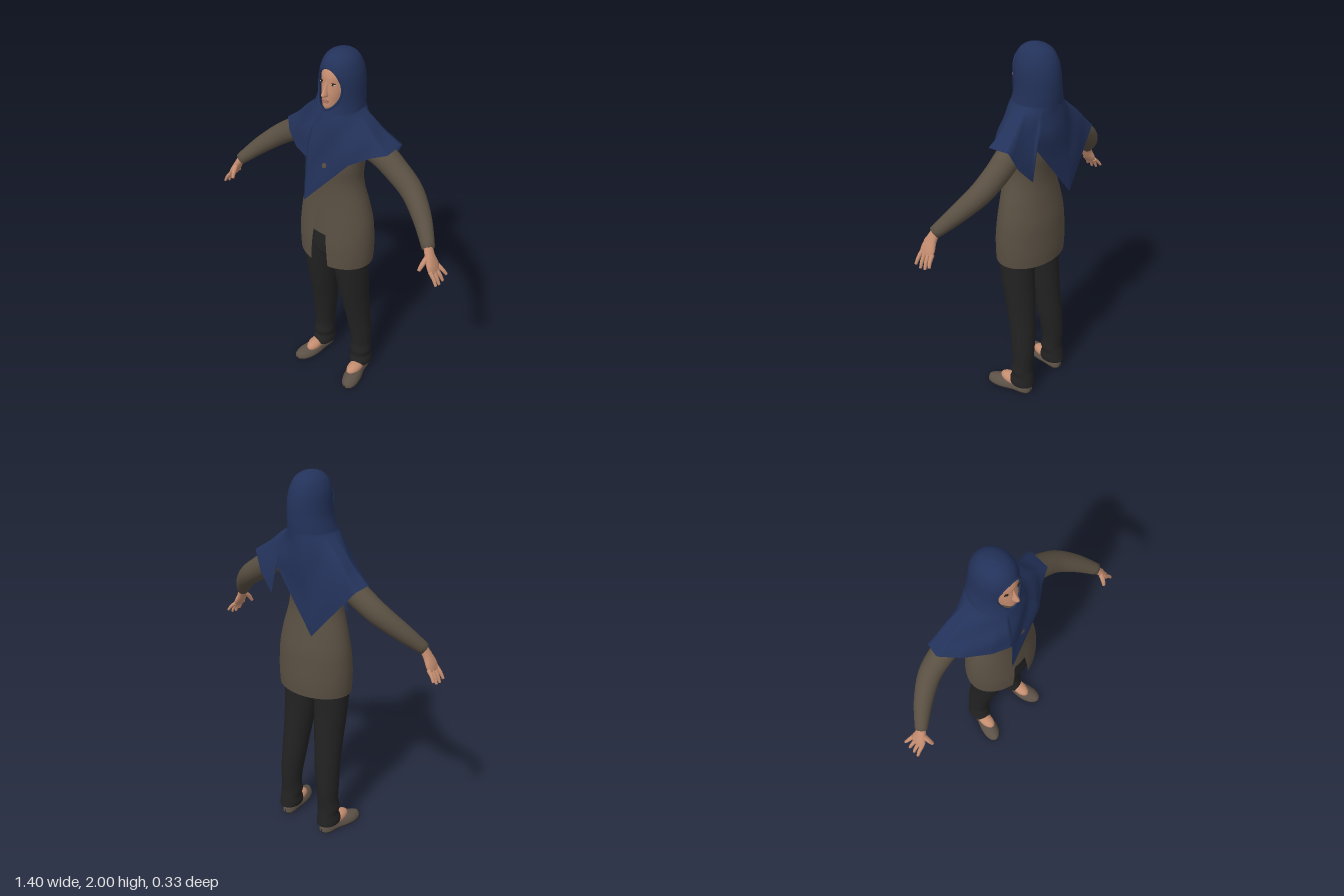
import * as THREE from 'three';
import { mergeVertices } from 'three/addons/utils/BufferGeometryUtils.js';

const V = (x, y, z) => new THREE.Vector3(x, y, z);
const TAU = Math.PI * 2;
const material = (name, color, side = THREE.FrontSide) => {
  const m = new THREE.MeshStandardMaterial({ color, side });
  m.name = name;
  return m;
};

// Skin a list of cross-sections (each one repeats its first point when closed)
function loft(sections) {
  const n = sections[0].length, pos = [], idx = [];
  sections.forEach(s => s.forEach(p => pos.push(p.x, p.y, p.z)));
  for (let i = 0; i < sections.length - 1; i++) {
    for (let j = 0; j < n - 1; j++) {
      const a = i * n + j, b = a + 1, c = a + n, d = c + 1;
      idx.push(a, c, b, b, c, d);
    }
  }
  let g = new THREE.BufferGeometry();
  g.setAttribute('position', new THREE.Float32BufferAttribute(pos, 3));
  g.setIndex(idx);
  g = mergeVertices(g, 1e-5);
  g.computeVertexNormals();
  return g;
}

// Smoothly subdivide rows of numbers
function dense(rows, m = 4) {
  const out = [], at = i => rows[Math.max(0, Math.min(rows.length - 1, i))];
  for (let i = 0; i < rows.length - 1; i++) {
    for (let k = 0; k < m; k++) {
      const t = k / m;
      out.push(rows[i].map((p1, c) => {
        const p0 = at(i - 1)[c], p2 = at(i + 1)[c], p3 = at(i + 2)[c];
        return p1 + 0.5 * t * (p2 - p0 + t * (2 * p0 - 5 * p1 + 4 * p2 - p3 + t * (3 * (p1 - p2) + p3 - p0)));
      }));
    }
  }
  out.push(rows[rows.length - 1]);
  return out;
}

// Horizontal ellipse [y, half width, front z, back z, centre x], open at the front by angle a
function ring([y, rx, zf, zb, cx = 0], a = 0, n = 48) {
  return Array.from({ length: n + 1 }, (_, j) => {
    const f = a + (TAU - 2 * a) * j / n;
    return V(cx + rx * Math.sin(f), y, (zf + zb) / 2 + (zf - zb) / 2 * Math.cos(f));
  });
}
const body = rows => loft(dense(rows).map(r => ring(r)));

// Rounded limb along points, each [x, y, z, radius along z, thickness radius]
function limb(rows, n = 16) {
  const d = dense(rows.map(r => [...r.slice(0, 4), r[4] ?? r[3]]));
  const section = (i, k) => {
    const [x, y, z, rn, rb] = d[i];
    const p = d[Math.max(0, i - 1)], q = d[Math.min(d.length - 1, i + 1)];
    const T = V(q[0] - p[0], q[1] - p[1], q[2] - p[2]).normalize();
    const N = V(0, 0, 1).addScaledVector(T, -T.z).normalize(), B = N.clone().cross(T);
    return Array.from({ length: n + 1 }, (_, j) => V(x, y, z)
      .addScaledVector(N, k * rn * Math.cos(j / n * TAU))
      .addScaledVector(B, k * rb * Math.sin(j / n * TAU)));
  };
  const last = d.length - 1;
  return loft([section(0, 0.02), ...d.map((_, i) => section(i, 1)), section(last, 0.6), section(last, 0.02)]);
}

function mirrored(geo) {
  const g = geo.clone().scale(-1, 1, 1), a = g.index.array;
  for (let i = 0; i < a.length; i += 3) [a[i], a[i + 1]] = [a[i + 1], a[i]];
  return g;
}

const blob = (x, y, z, rx, ry, rz) => new THREE.SphereGeometry(1, 20, 14).scale(rx, ry, rz).translate(x, y, z);

// Headscarf hem: [angle from the front in degrees, x, y, z]
const HEM = [
  [-21, -0.07, 1.49, 0.165], [-15, -0.08, 1.235, 0.175], [36, 0.15, 1.5, 0.115], [60, 0.23, 1.54, 0.05],
  [84, 0.30, 1.565, 0.015], [105, 0.30, 1.57, -0.105], [114, 0.25, 1.47, -0.125], [129, 0.165, 1.38, -0.14],
  [138, 0.13, 1.53, -0.135], [189, -0.11, 1.225, -0.155], [249, -0.345, 1.5, -0.115], [270, -0.36, 1.515, -0.035],
  [294, -0.28, 1.5, 0.045], [324, -0.165, 1.49, 0.125], [339, -0.07, 1.49, 0.165],
];
function hemPoint(deg) {
  if (deg > 339) deg -= 360;
  const i = Math.max(1, HEM.findIndex(h => h[0] >= deg - 1e-6));
  const p = HEM[i - 1], q = HEM[i];
  return V(...p.slice(1)).lerp(V(...q.slice(1)), (deg - p[0]) / (q[0] - p[0]));
}

// Headscarf: head part with a face opening, then a cape draped to the hem
function headscarf() {
  const N = 120, sections = [], left = [], right = [];
  const head = dense([
    [2, 0.002, -0.018, -0.022, 0], [1.99, 0.04, 0.025, -0.07, 0], [1.97, 0.068, 0.055, -0.105, 0],
    [1.94, 0.086, 0.075, -0.127, 0], [1.90, 0.098, 0.085, -0.142, 0], [1.85, 0.103, 0.087, -0.15, 0],
    [1.80, 0.106, 0.088, -0.152, -0.002], [1.76, 0.112, 0.093, -0.152, -0.006], [1.72, 0.12, 0.105, -0.15, -0.01],
  ], 6);
  for (const r of head) {
    const u = (r[0] - 1.836) / 0.1;
    const a = Math.abs(u) < 1 ? Math.asin(0.067 * Math.sqrt(1 - u * u) / r[1]) : 0;
    const s = ring(r, a, N);
    if (a > 0) { left.push(s[0]); right.unshift(s[N]); }
    sections.push(s);
  }
  const neck = sections[sections.length - 1];
  for (let k = 1; k <= 20; k++) {
    const t = k / 20;
    sections.push(neck.map((n, j) => {
      const f = j / N * TAU, side = Math.sin(f) ** 2, h = hemPoint(j / N * 360);
      const c = n.clone().lerp(h, 0.75 - 0.25 * side);
      c.y = n.y + (h.y - n.y) * (0.4 + 0.15 * side);
      const p = n.clone().multiplyScalar((1 - t) ** 2).addScaledVector(c, 2 * t * (1 - t)).addScaledVector(h, t * t);
      const fold = 0.006 * Math.sin(Math.PI * t) * Math.sin(4 * f + 6 * t);
      return p.add(V(Math.sin(f) * fold, 0, Math.cos(f) * fold));
    }));
  }
  const rim = new THREE.CatmullRomCurve3([...left, ...right], true);
  return [loft(sections), new THREE.TubeGeometry(rim, 80, 0.005, 8, true)];
}

// Low shoe shape from heel to toe, flat underneath: [z, centre x, half width, height]
const SHOE = [
  [-0.102, 0.138, 0.004, 0.02], [-0.095, 0.138, 0.022, 0.04], [-0.07, 0.14, 0.036, 0.052], [-0.01, 0.148, 0.04, 0.05],
  [0.05, 0.16, 0.05, 0.046], [0.1, 0.17, 0.05, 0.043], [0.14, 0.178, 0.038, 0.034], [0.16, 0.182, 0.02, 0.025],
  [0.167, 0.183, 0.003, 0.014],
];
const shoe = (base, height, grow) => loft(dense(SHOE).map(([z, cx, hw, h]) =>
  Array.from({ length: 25 }, (_, j) => {
    const f = j / 24 * TAU;
    return V(cx + (hw + grow) * Math.cos(f), base + Math.max(0, -Math.sin(f)) * (height || h), z);
  })));

export function createModel() {
  const model = new THREE.Group();
  model.name = 'woman';
  const navy = material('navy scarf', 0x23325a, THREE.DoubleSide);
  const brown = material('brown coat', 0x594f42, THREE.DoubleSide);
  const black = material('black trousers', 0x222222);
  const skin = material('skin', 0xc48d70);
  const shoeBrown = material('shoe brown', 0x5c5147);
  const soleDark = material('dark sole', 0x25211e);
  const eyeWhite = material('eye white', 0xc9b9a6);
  const eyeDark = material('dark eye', 0x2c1d16);
  const lipRed = material('lips', 0xa3685a);
  const add = (name, geo, mat) => {
    const mesh = new THREE.Mesh(geo, mat);
    mesh.name = name;
    model.add(mesh);
  };
  const pair = (name, geo, mat) => {
    add('left ' + name, geo, mat);
    add('right ' + name, mirrored(geo), mat);
  };

  // Headscarf
  const [scarf, rim] = headscarf();
  add('headscarf', scarf, navy);
  add('headscarf rim', rim, navy);

  // Head and face
  add('head', body([
    [1.97, 0.03, 0.02, -0.08], [1.94, 0.066, 0.064, -0.1], [1.90, 0.072, 0.085, -0.1], [1.865, 0.071, 0.089, -0.1],
    [1.82, 0.067, 0.096, -0.1], [1.78, 0.059, 0.099, -0.1], [1.75, 0.05, 0.099, -0.09], [1.73, 0.043, 0.085, -0.08],
    [1.70, 0.04, 0.05, -0.07], [1.6, 0.045, 0.04, -0.07]]), skin);
  add('nose', body([
    [1.885, 0.004, 0.086, 0.06], [1.865, 0.007, 0.094, 0.06], [1.84, 0.010, 0.108, 0.06],
    [1.818, 0.015, 0.122, 0.06], [1.808, 0.014, 0.116, 0.06], [1.802, 0.006, 0.098, 0.06]]), skin);
  add('upper lip', blob(0, 1.786, 0.098, 0.021, 0.004, 0.007), lipRed);
  add('lower lip', blob(0, 1.778, 0.097, 0.018, 0.005, 0.008), lipRed);
  pair('eye', blob(0.031, 1.864, 0.078, 0.014, 0.005, 0.005), eyeWhite);
  pair('iris', blob(0.031, 1.864, 0.081, 0.005, 0.0045, 0.004), eyeDark);
  pair('eyelid', blob(0.031, 1.870, 0.079, 0.016, 0.0025, 0.005), eyeDark);

  // Long coat, parted at the front below the waist
  const coat = dense([
    [1.68, 0.05, 0.04, -0.08], [1.63, 0.09, 0.06, -0.09], [1.58, 0.145, 0.09, -0.1], [1.52, 0.16, 0.122, -0.112],
    [1.45, 0.152, 0.14, -0.112], [1.37, 0.146, 0.136, -0.102], [1.3, 0.157, 0.135, -0.102], [1.2, 0.186, 0.141, -0.118],
    [1.1, 0.207, 0.152, -0.135], [1.0, 0.215, 0.163, -0.142], [0.92, 0.215, 0.166, -0.145], [0.86, 0.211, 0.166, -0.143]], 5);
  add('coat', loft(coat.map(r => ring(r, Math.asin(0.055 * Math.sqrt(Math.max(0, (1.27 - r[0]) / 0.41)) / r[1]), 64))), brown);
  add('shirt', body([[1.3, 0.14, 0.122, -0.085], [1.2, 0.17, 0.13, -0.1], [1.04, 0.193, 0.14, -0.12]]), brown);

  // Sleeves
  pair('sleeve', limb([
    [0.12, 1.535, -0.045, 0.06], [0.22, 1.517, -0.048, 0.064], [0.32, 1.455, -0.048, 0.06], [0.42, 1.388, -0.033, 0.055],
    [0.52, 1.306, 0.022, 0.045], [0.605, 1.222, 0.09, 0.031]], 24), brown);

  // Hands
  pair('palm', limb([
    [0.597, 1.232, 0.084, 0.024, 0.02], [0.62, 1.19, 0.097, 0.03, 0.019], [0.642, 1.148, 0.102, 0.042, 0.017],
    [0.657, 1.118, 0.102, 0.04, 0.011]]), skin);
  [[0.068, 0.05, 1.083], [0.09, 0.08, 1.064], [0.112, 0.11, 1.06], [0.133, 0.14, 1.07]].forEach(([z0, z1, tipY], i) =>
    pair('finger ' + (i + 1), limb([
      [0.65, 1.13, z0, 0.011], [0.676, (1.13 + tipY) / 2, (z0 + z1) / 2, 0.0095], [0.692, tipY, z1, 0.007]], 10), skin));
  pair('thumb', limb([
    [0.618, 1.19, 0.115, 0.013], [0.612, 1.162, 0.143, 0.012], [0.606, 1.132, 0.161, 0.008]], 10), skin);

  // Trousers
  add('trouser seat', body([
    [1.1, 0.16, 0.118, -0.09], [0.95, 0.185, 0.132, -0.105], [0.89, 0.17, 0.122, -0.095], [0.865, 0.08, 0.06, -0.04]]), black);
  pair('trouser leg', body([
    [0.96, 0.088, 0.125, -0.085, 0.098], [0.86, 0.092, 0.12, -0.078, 0.1], [0.72, 0.087, 0.1, -0.082, 0.104],
    [0.6, 0.079, 0.079, -0.09, 0.108], [0.5, 0.073, 0.057, -0.097, 0.114], [0.4, 0.068, 0.038, -0.105, 0.12],
    [0.28, 0.06, 0.022, -0.108, 0.131], [0.2, 0.056, 0.016, -0.104, 0.134], [0.15, 0.061, 0.024, -0.102, 0.136],
    [0.115, 0.056, 0.018, -0.108, 0.137], [0.08, 0.061, 0.03, -0.112, 0.139], [0.05, 0.058, 0.032, -0.114, 0.14],
    [0.045, 0.04, 0.015, -0.09, 0.14]]), black);

  // Feet and shoes
  pair('foot', blob(0.152, 0.048, 0.03, 0.038, 0.034, 0.07), skin);
  pair('shoe', shoe(0.005, 0, 0), shoeBrown);
  pair('sole', shoe(0, 0.008, 0.002), soleDark);
  return model;
}
